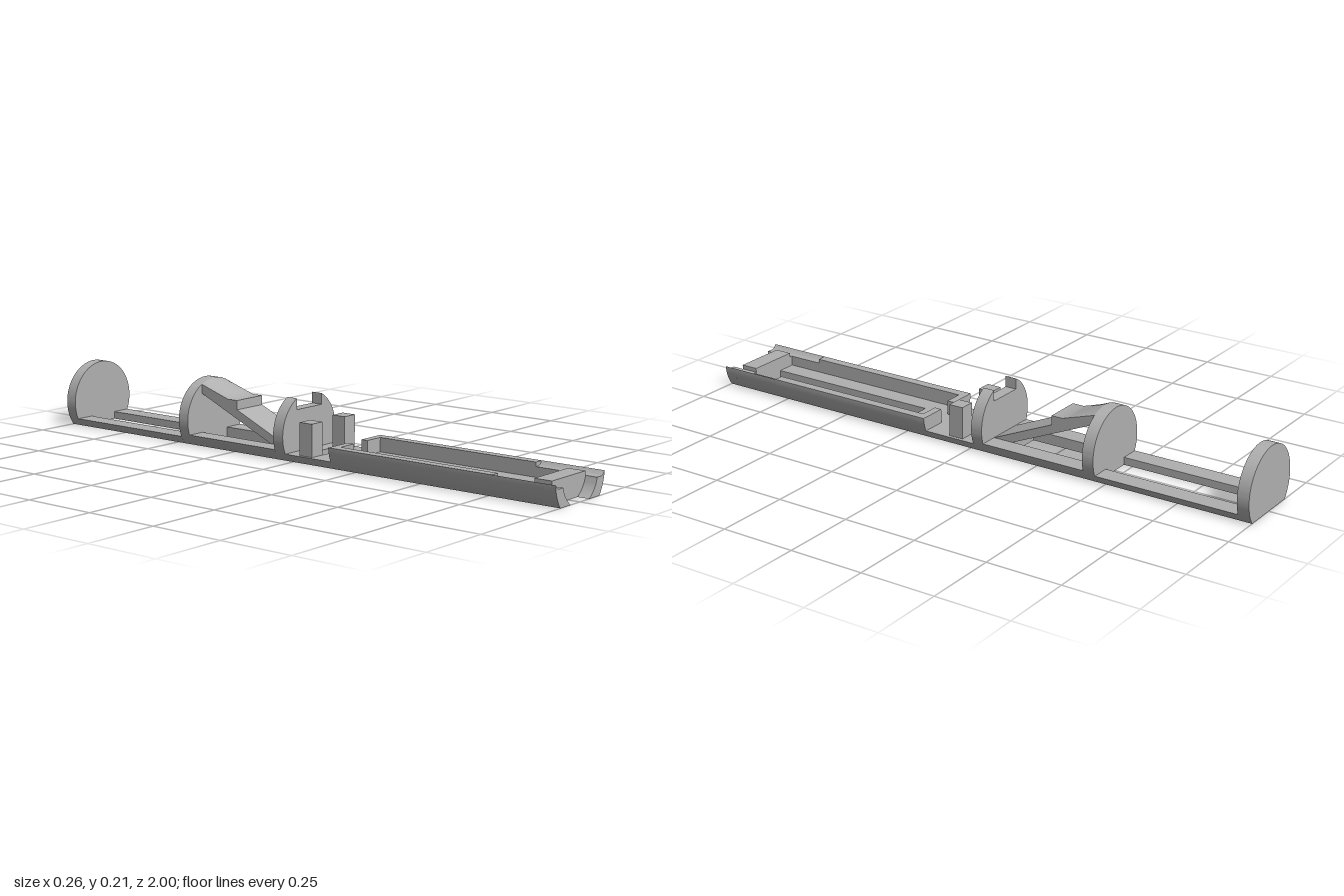
import * as THREE from 'three';
import { toCreasedNormals } from 'three/addons/utils/BufferGeometryUtils.js';

const R = 0.132, CY = 0.08; // round body section, cut flat at y = 0
const halfWidth = (y, r = R) => Math.sqrt(Math.max(0, r * r - (y - CY) ** 2));
const arcTop = (x) => CY + Math.sqrt(R * R - x * x);

// points on the +x side of a circle between two heights
function arc(y0, y1, r = R, n = 8) {
  const a0 = Math.asin((y0 - CY) / r), a1 = Math.asin((y1 - CY) / r);
  return Array.from({ length: n + 1 }, (_, i) => {
    const a = a0 + (a1 - a0) * i / n;
    return [Math.cos(a) * r, CY + Math.sin(a) * r];
  });
}

export function createModel() {
  const group = new THREE.Group();
  const grey = new THREE.MeshStandardMaterial({ color: 0xb0b0b0 });
  grey.name = 'plain grey';

  function add(name, geometry) {
    const mesh = new THREE.Mesh(toCreasedNormals(geometry, 0.5), grey);
    mesh.name = name;
    group.add(mesh);
    return mesh;
  }

  // extrude an x/y outline from z0 to z1
  function prism(name, points, z0, z1) {
    const shape = new THREE.Shape(points.map(([x, y]) => new THREE.Vector2(x, y)));
    const g = new THREE.ExtrudeGeometry(shape, { depth: z1 - z0, bevelEnabled: false });
    return add(name, g.translate(0, 0, z0));
  }
  const flip = (points) => points.map(([x, y]) => [-x, y]);
  function pair(name, points, z0, z1) {
    prism(name + 'Left', points, z0, z1);
    prism(name + 'Right', flip(points), z0, z1);
  }
  const rails = (name, inner, y0, y1, z0, z1) =>
    pair(name, [[inner, y0], ...arc(y0, y1), [inner, y1]], z0, z1);
  function plate(name, y0, y1, z0, z1) {
    const side = arc(y0, y1);
    prism(name, [...side, ...flip(side).reverse()], z0, z1);
  }
  function box(name, x0, x1, y0, y1, z0, z1) {
    const g = new THREE.BoxGeometry(x1 - x0, y1 - y0, z1 - z0);
    add(name, g.translate((x0 + x1) / 2, (y0 + y1) / 2, (z0 + z1) / 2));
  }

  // round bulkheads
  const side = arc(0, CY + R - 1e-7, R, 36);
  const disc = [...side, ...flip(side).reverse()];
  prism('rearBulkhead', disc, -1, -0.96);
  prism('middleBulkhead', disc, -0.47, -0.43);
  const notched = [...arc(0, arcTop(0.062), R, 30), [0.062, 0.16]];
  prism('notchedBulkhead', [...notched, ...flip(notched).reverse()], -0.06, -0.02);

  // base plate and rails, from back to front
  rails('rearRail', 0.055, 0, 0.025, -0.96, -0.47);
  rails('rampRail', 0.06, 0, 0.035, -0.43, -0.13);
  plate('rampFoot', 0, 0.035, -0.13, -0.06);
  plate('baseBehindSlot', 0, 0.025, -0.02, 0.03);
  rails('slotRail', 0.055, 0, 0.025, 0.03, 0.08);
  plate('trayFloorBack', 0, 0.025, 0.08, 0.28);
  rails('trayFloor', 0.035, 0, 0.025, 0.28, 0.9);
  plate('trayFloorFront', 0, 0.025, 0.9, 0.96);

  // posts beside the slot
  for (const s of [-1, 1]) {
    const x = s * 0.082;
    box(s > 0 ? 'postLeft' : 'postRight', x - 0.026, x + 0.026, 0.025, 0.132, 0.03, 0.08);
  }

  // tray walls, grooved near the front
  rails('trayBackWall', 0.035, 0.025, 0.072, 0.165, 0.19);
  rails('traySideWall', 0.1, 0.025, 0.072, 0.19, 0.78);
  const groove = [[0.127, 0.066], [0.122, 0.061], [0.114, 0.058]];
  pair('groovedWall', [[0.1, 0.025], ...arc(0.025, 0.072), ...groove, [0.1, 0.058]], 0.78, 0.96);
  box('crossBar', -0.09, 0.09, 0.025, 0.072, 0.9, 0.96);
  box('crossBarFoot', -0.1, 0.1, 0.025, 0.058, 0.9, 0.96);
  pair('frontLip', [...arc(0, 0.072), ...groove, ...arc(0, 0.058, 0.094).reverse()], 0.96, 1);

  // sloping ramp, drawn in z/y and turned to run along z
  const W = 0.062;
  const profile = [[0.06, 0.035], [0.13, 0.035], [0.43, 0.166], [0.43, 0.197]];
  const rampShape = new THREE.Shape(profile.map(([z, y]) => new THREE.Vector2(z, y)));
  const ramp = new THREE.ExtrudeGeometry(rampShape, { depth: 2 * W, bevelEnabled: false });
  add('ramp', ramp.translate(0, 0, -W).rotateY(Math.PI / 2));

  // cap on the ramp: flat ledge that blends up to the round bulkhead
  const N = 12, pos = [], index = [];
  const stations = [[-0.275, 0.12, 0], [-0.315, 0.137, 0], [-0.345, 0.15, 0.26], [-0.39, 0.17, 0.65], [-0.43, 0.187, 1]];
  for (const [z, bottom, t] of stations) {
    for (let i = 0; i <= N; i++) {
      const x = -W + 2 * W * i / N;
      pos.push(x, 0.16 + (arcTop(x) - 0.16) * t, z);
    }
    for (let i = N; i >= 0; i--) pos.push(-W + 2 * W * i / N, bottom, z);
  }
  const ring = 2 * N + 2;
  for (let s = 0; s < stations.length - 1; s++) {
    for (let i = 0; i < ring; i++) {
      const a = s * ring + i, b = s * ring + (i + 1) % ring;
      index.push(a, b, b + ring, a, b + ring, a + ring);
    }
  }
  for (let i = 0; i < N; i++) { // front face
    const j = ring - 1 - i;
    index.push(i, j, j - 1, i, j - 1, i + 1);
  }
  const cap = new THREE.BufferGeometry();
  cap.setAttribute('position', new THREE.Float32BufferAttribute(pos, 3));
  cap.setIndex(index);
  add('rampCap', cap);

  return group;
}
